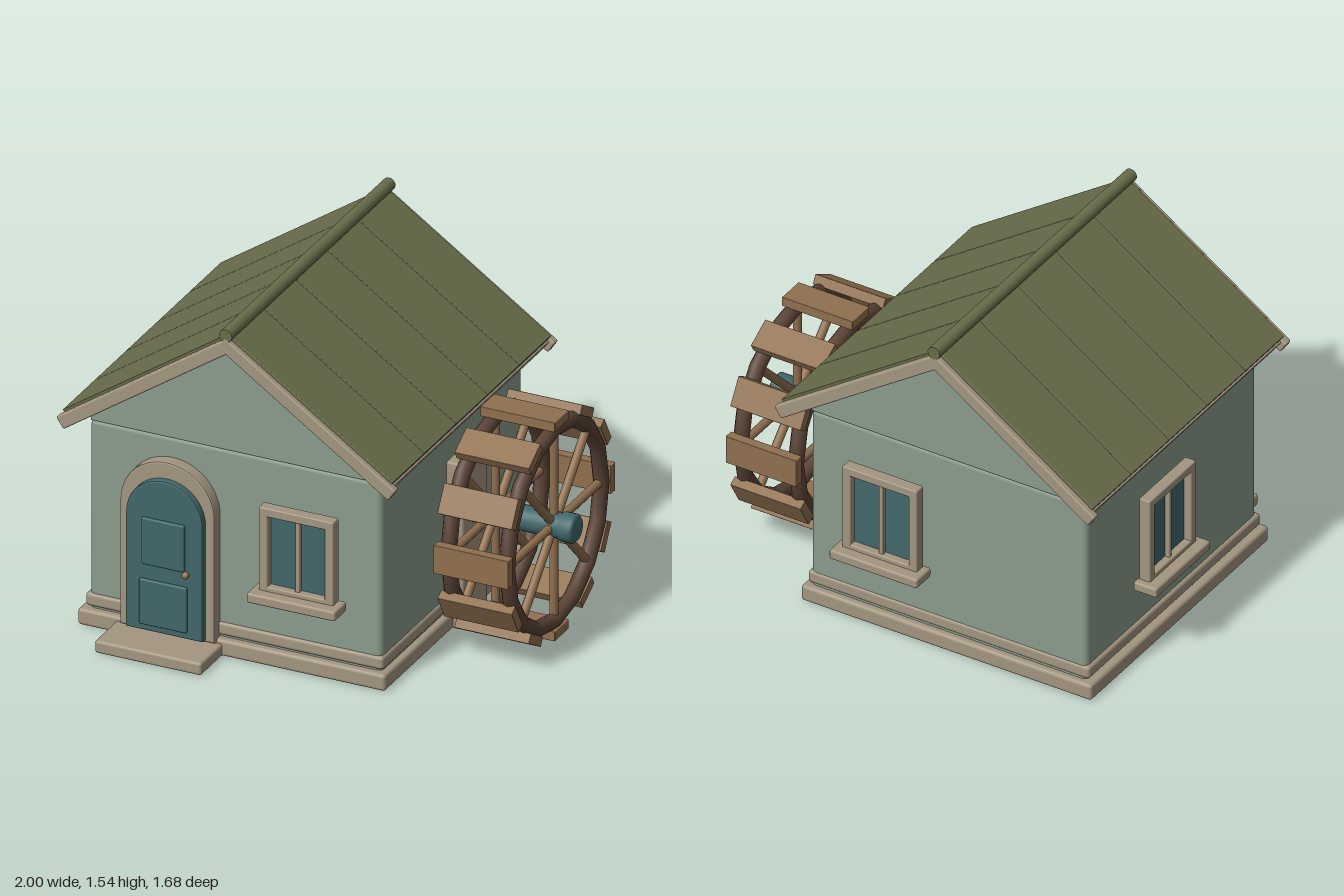
import * as THREE from 'three';
import { RoundedBoxGeometry } from 'three/addons/geometries/RoundedBoxGeometry.js';

const material = (name, color) => {
  const m = new THREE.MeshStandardMaterial({ color });
  m.name = name;
  return m;
};

export function createModel() {
  const model = new THREE.Group();
  model.name = 'waterMill';
  const wall = material('sage wall', 0x8a9c8c);
  const stone = material('beige trim', 0xa39580);
  const teal = material('teal paint', 0x41676b);
  const roofGreen = material('olive roof', 0x696d4b);
  const wood = material('light wood', 0x90704f);
  const darkWood = material('dark wood', 0x5a4335);

  const add = (parent, name, geometry, mat) => {
    const mesh = new THREE.Mesh(geometry, mat);
    mesh.name = name;
    parent.add(mesh);
    return mesh;
  };
  // Softly rounded box given by its limits on each axis
  const block = (parent, name, mat, [x0, x1], [y0, y1], [z0, z1], r = 0.01) => {
    const mesh = add(parent, name, new RoundedBoxGeometry(x1 - x0, y1 - y0, z1 - z0, 2, r), mat);
    mesh.position.set((x0 + x1) / 2, (y0 + y1) / 2, (z0 + z1) / 2);
    return mesh;
  };
  const extrude = (shape, depth, bevel = 0) => new THREE.ExtrudeGeometry(shape, {
    depth: depth - 2 * bevel, curveSegments: 20, bevelEnabled: bevel > 0,
    bevelThickness: bevel, bevelSize: bevel, bevelOffset: -bevel, bevelSegments: 2,
  }).translate(0, 0, bevel);

  // Walls, gables and foundation
  const house = new THREE.Group();
  house.name = 'house';
  model.add(house);
  block(house, 'walls', wall, [-0.87, 0.46], [0.02, 0.945], [-0.709, 0.606], 0.025);
  const gable = new THREE.Shape([
    [-0.865, 0.94], [0.455, 0.94], [0.455, 1.02], [-0.2, 1.465], [-0.865, 1.02],
  ].map(([x, y]) => new THREE.Vector2(x, y)));
  add(house, 'gables', extrude(gable, 1.315), wall).position.z = -0.709;
  block(house, 'lowerPlinth', stone, [-0.91, 0.49], [0.005, 0.08], [-0.74, 0.64], 0.015);
  block(house, 'upperPlinth', stone, [-0.885, 0.47], [0.088, 0.147], [-0.716, 0.617], 0.015);
  block(house, 'axlePier', stone, [0.44, 0.535], [0.005, 0.765], [-0.23, 0]);
  block(house, 'doorStep', stone, [-0.735, -0.25], [0.005, 0.062], [0.6, 0.84], 0.012);

  // Roof: each slope is laid out along its own tilted axis
  const roof = new THREE.Group();
  roof.name = 'roof';
  model.add(roof);
  const pitch = 0.6;
  for (const s of [1, -1]) {
    const slope = new THREE.Group();
    slope.name = s > 0 ? 'leftSlope' : 'rightSlope';
    slope.position.set(-0.2, 1.52, 0);
    slope.rotation.z = -s * pitch;
    roof.add(slope);
    const span = (a, b) => (s > 0 ? [a, b] : [-b, -a]);
    block(slope, 'roofDeck', roofGreen, span(0, 0.908), [-0.035, -0.004], [-0.788, 0.688], 0.002);
    const step = 1.48 / 5;
    for (let i = 0; i < 5; i++) {
      const z = -0.79 + i * step;
      block(slope, 'roofPanel', roofGreen, span(0, 0.912), [-0.03, 0], [z + 0.001, z + step - 0.001], 0.003);
    }
    block(slope, 'frontBargeBoard', stone, span(0, 0.945), [-0.072, -0.012], [0.675, 0.714], 0.008);
    block(slope, 'backBargeBoard', stone, span(0, 0.945), [-0.072, -0.012], [-0.815, -0.778], 0.008);
    block(slope, 'eaveBoard', stone, span(0.87, 0.922), [-0.072, -0.025], [-0.79, 0.69], 0.006);
  }
  const ridge = add(roof, 'ridge', new THREE.CylinderGeometry(0.029, 0.029, 1.53, 16), roofGreen);
  ridge.rotation.x = Math.PI / 2;
  ridge.position.set(-0.2, 1.52, -0.053);

  // Arched door
  const arch = (half, spring, bottom, Type = THREE.Shape) => {
    const p = new Type();
    p.moveTo(-half, bottom);
    p.lineTo(half, bottom);
    p.lineTo(half, spring);
    p.absarc(0, spring, half, 0, Math.PI, false);
    p.lineTo(-half, bottom);
    return p;
  };
  const door = new THREE.Group();
  door.name = 'door';
  door.position.x = -0.491;
  model.add(door);
  const surround = arch(0.215, 0.635, 0.065);
  surround.holes.push(arch(0.165, 0.605, 0.075, THREE.Path));
  add(door, 'doorFrame', extrude(surround, 0.065, 0.008), stone).position.z = 0.595;
  add(door, 'doorLeaf', extrude(arch(0.175, 0.601, 0.075), 0.085, 0.008), teal).position.z = 0.605;
  block(door, 'upperPanel', teal, [-0.098, 0.096], [0.385, 0.597], [0.68, 0.704], 0.006);
  block(door, 'lowerPanel', teal, [-0.108, 0.108], [0.108, 0.315], [0.68, 0.704], 0.006);
  add(door, 'doorKnob', new THREE.SphereGeometry(0.016, 16, 12), wood).position.set(0.104, 0.375, 0.703);

  // Windows, built facing +z with the wall at z = 0
  const addWindow = (name, x, y, z, turn, w, h) => {
    const g = new THREE.Group();
    g.name = name;
    g.position.set(x, y, z);
    g.rotation.y = turn;
    model.add(g);
    const a = w / 2, b = 0.04;
    block(g, 'windowGlass', teal, [-a + 0.015, a - 0.015], [0.015, h - 0.015], [0.02, 0.046], 0.003);
    for (const s of [-1, 1]) {
      const c = s * (a - b / 2);
      block(g, 'windowJamb', stone, [c - b / 2, c + b / 2], [0, h], [0.026, 0.08], 0.006);
    }
    block(g, 'windowHead', stone, [-a, a], [h - b, h], [0.026, 0.08], 0.006);
    block(g, 'windowFoot', stone, [-a, a], [-0.01, 0.03], [0.026, 0.08], 0.006);
    block(g, 'windowMullion', stone, [-0.01, 0.01], [0, h], [0.03, 0.068], 0.004);
    block(g, 'windowSill', stone, [-a - 0.032, a + 0.032], [-0.035, 0.01], [0.018, 0.13], 0.01);
  };
  addWindow('frontWindow', 0.107, 0.365, 0.606, 0, 0.34, 0.39);
  addWindow('backWindow', 0.08, 0.373, -0.709, Math.PI, 0.36, 0.407);
  addWindow('sideWindow', -0.87, 0.373, -0.167, -Math.PI / 2, 0.36, 0.407);

  // Water wheel, turning around the x axis
  const wheel = new THREE.Group();
  wheel.name = 'waterWheel';
  wheel.position.set(0, 0.522, -0.115);
  model.add(wheel);
  for (const x of [0.627, 0.893]) {
    const ring = add(wheel, 'wheelRing', new THREE.TorusGeometry(0.441, 0.034, 10, 16), darkWood);
    ring.rotation.y = Math.PI / 2;
    ring.position.x = x;
    for (let i = 0; i < 8; i++) {
      const arm = new THREE.Group();
      arm.name = 'spokeArm';
      arm.rotation.x = i * Math.PI / 4;
      wheel.add(arm);
      add(arm, 'spoke', new THREE.CylinderGeometry(0.019, 0.019, 0.4, 10), wood).position.set(x, 0.23, 0);
    }
  }
  for (let i = 0; i < 12; i++) {
    const arm = new THREE.Group();
    arm.name = 'paddleArm';
    arm.rotation.x = i * Math.PI / 6;
    wheel.add(arm);
    block(arm, 'paddle', wood, [0.588, 0.928], [0.458, 0.502], [-0.065, 0.065], 0.003);
  }
  const axleProfile = [[0, 0.5], [0.062, 0.5], [0.062, 0.592], [0.055, 0.6], [0.055, 0.928],
    [0.063, 0.936], [0.063, 0.988], [0.051, 1], [0, 1]].map(([r, x]) => new THREE.Vector2(r, x));
  const axle = add(wheel, 'axle', new THREE.LatheGeometry(axleProfile, 24), teal);
  axle.rotation.z = -Math.PI / 2;

  return model;
}
